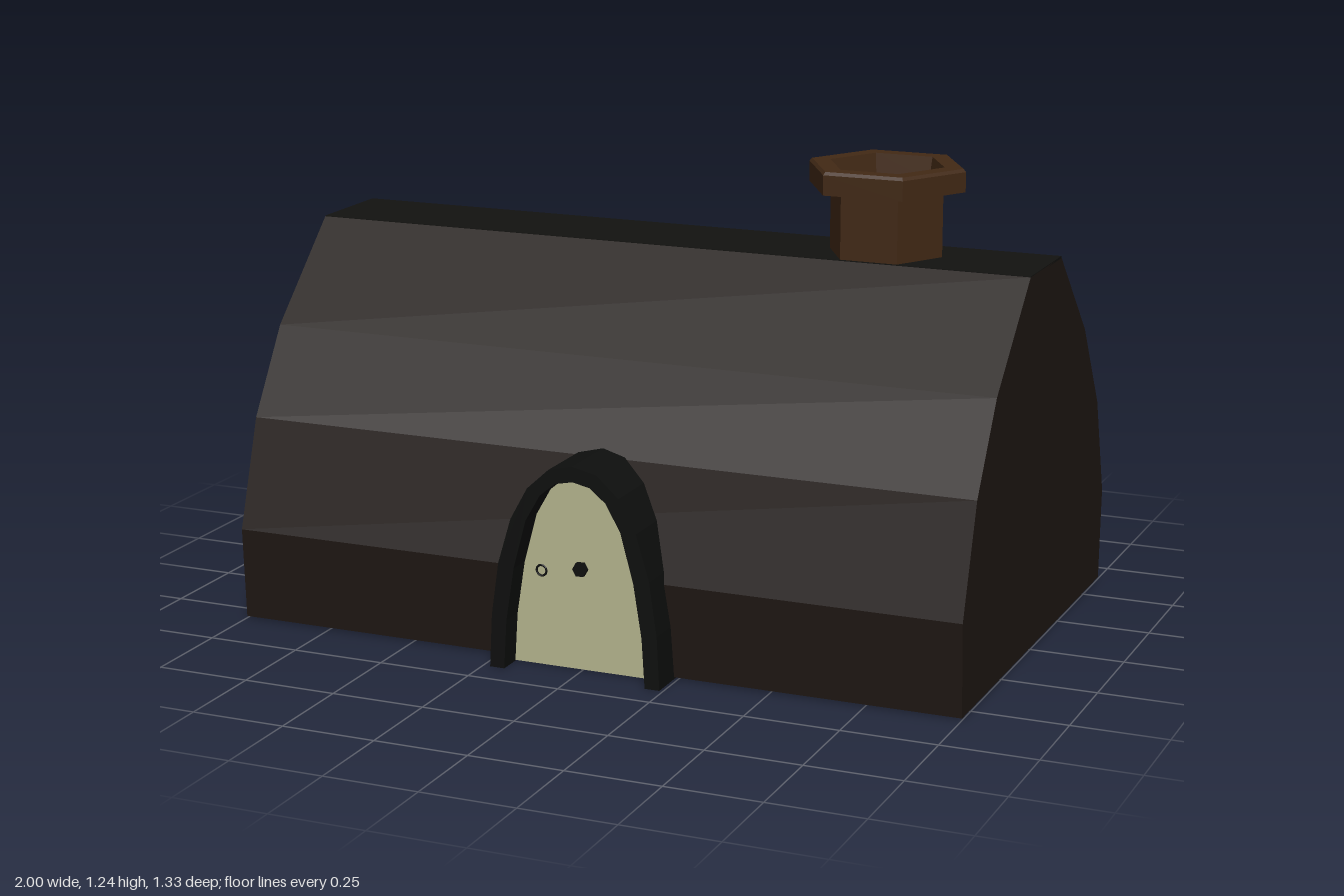
import * as THREE from 'three';

const paint = (color) => new THREE.MeshStandardMaterial({ color, flatShading: true });
const timber = paint(0x1f1713);
const slate = paint(0x121210);
const iron = paint(0x0e0f0e);
const brick = paint(0x422915);
const cream = paint(0xb5b58e);
const grey = paint(0xcccccc);

function add(group, name, geometry, material, x = 0, y = 0, z = 0) {
  const mesh = new THREE.Mesh(geometry, material);
  mesh.name = name;
  mesh.position.set(x, y, z);
  group.add(mesh);
  return mesh;
}

// Full arch outline from its right half, running base to crown
function arch(half) {
  const left = half.slice(0, -1).reverse().map(([x, y]) => [-x, y]);
  return [...half, ...left].map(([x, y]) => new THREE.Vector2(x, y));
}

const extrude = (shape, depth) => new THREE.ExtrudeGeometry(shape, { depth, bevelEnabled: false });

export function createModel() {
  const model = new THREE.Group();
  model.name = 'barrelHouse';

  // Barrel-roofed body: cross-section as [z, y], swept along x
  const section = [
    [0.57, 0.005], [0.582, 0.25], [0.49, 0.535], [0.35, 0.757], [0.09, 1.005],
    [-0.18, 1.005], [-0.43, 0.76], [-0.58, 0.525], [-0.662, 0.255], [-0.65, 0.005],
  ].map(([z, y]) => new THREE.Vector2(-z, y));
  const body = extrude(new THREE.Shape(section), 2);
  body.translate(0, 0, -1);
  body.rotateY(Math.PI / 2);
  add(model, 'body', body, timber);

  // Flat strip along the top of the roof
  add(model, 'roofRidge', new THREE.BoxGeometry(2, 0.006, 0.27), slate, 0, 1.004, -0.045);

  // Doorway: arched frame with the door set back inside it
  const doorway = new THREE.Group();
  doorway.name = 'doorway';
  doorway.position.x = 0.005;
  const outer = arch([[0.235, 0], [0.228, 0.14], [0.208, 0.28], [0.172, 0.4],
    [0.125, 0.485], [0.065, 0.54], [0, 0.555]]);
  const inner = arch([[0.195, 0], [0.187, 0.13], [0.165, 0.27], [0.13, 0.4],
    [0.09, 0.47], [0.048, 0.505], [0, 0.515]]);
  const frame = new THREE.Shape([...outer, ...inner.slice().reverse()]);
  add(doorway, 'doorFrame', extrude(frame, 0.235), iron, 0, 0, 0.43);
  add(doorway, 'door', extrude(new THREE.Shape(inner), 0.17), cream, 0, 0.002, 0.43);

  // Peephole and ring handle
  const stud = new THREE.CylinderGeometry(0.02, 0.02, 0.02, 6);
  stud.rotateX(Math.PI / 2);
  stud.rotateZ(Math.PI / 6);
  add(doorway, 'peephole', stud, iron, -0.007, 0.27, 0.602);
  add(doorway, 'doorHandle', new THREE.TorusGeometry(0.014, 0.003, 5, 12), iron, -0.113, 0.256, 0.61);
  model.add(doorway);

  // Hollow hexagonal chimney with a wider cap
  const flue = [
    [0.153, 0.98], [0.153, 1.18], [0.212, 1.18], [0.212, 1.232], [0.205, 1.24],
    [0.155, 1.24], [0.145, 1.18], [0.12, 1.17], [0.12, 1.015], [0, 1.015],
  ].map(([r, y]) => new THREE.Vector2(r, y));
  add(model, 'chimney', new THREE.LatheGeometry(flue, 6, Math.PI / 2), brick, 0.57, 0, -0.047);

  // Pale runners under the floor
  for (const z of [-0.61, -0.11]) {
    add(model, 'floorRunner', new THREE.BoxGeometry(0.26, 0.01, 0.03), grey, -0.275, 0.006, z);
  }

  return model;
}
